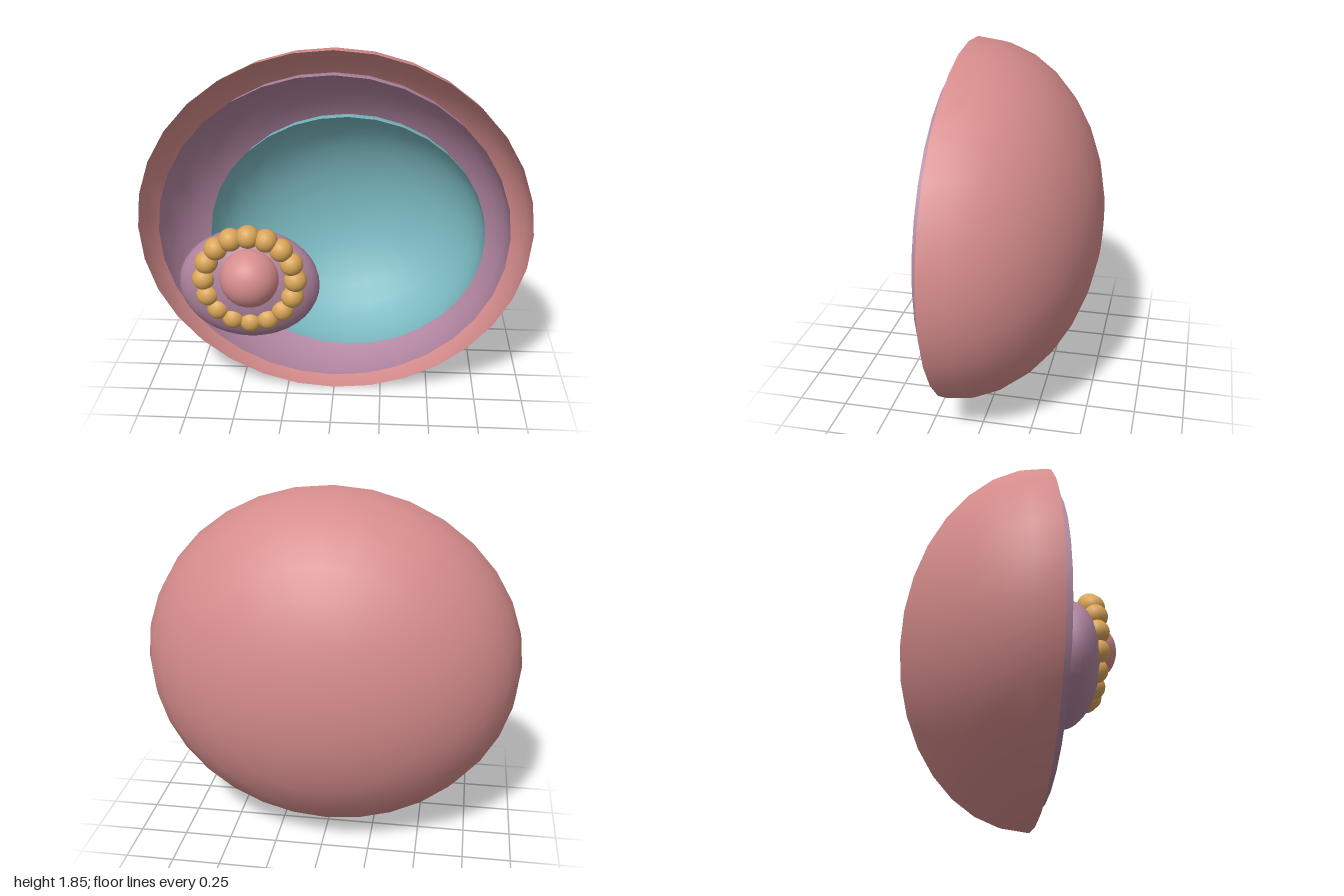
import * as THREE from 'three';

const paint = (name, color, side = THREE.FrontSide) => {
  const m = new THREE.MeshStandardMaterial({ color, side });
  m.name = name;
  return m;
};

export function createModel() {
  const model = new THREE.Group();
  model.name = 'nestedBowls';

  const rose = paint('rose', 0xd68c8c, THREE.DoubleSide);
  const mauve = paint('mauve', 0xb0849f, THREE.DoubleSide);
  const teal = paint('teal', 0x7ab8c0, THREE.DoubleSide);
  const gold = paint('gold', 0xd9a557);

  const add = (name, geometry, material, position, scale, parent = model) => {
    const mesh = new THREE.Mesh(geometry, material);
    mesh.name = name;
    mesh.position.set(...position);
    mesh.scale.set(...scale);
    parent.add(mesh);
    return mesh;
  };

  // Open half-ellipsoid bowls, rim facing +z and pole at the back
  const bowl = new THREE.SphereGeometry(1, 32, 8, 0, Math.PI * 2, 0, Math.PI / 2);
  bowl.rotateX(-Math.PI / 2);
  add('outerBowl', bowl, rose, [0, 0.925, 0.175], [1, 0.925, 0.69]);
  add('middleBowl', bowl, mauve, [0, 0.928, 0.226], [0.88, 0.816, 0.6]);
  add('innerBowl', bowl, teal, [0.072, 0.94, 0.26], [0.678, 0.614, 0.46]);

  // Flattened pod with a round centre
  const ball = new THREE.SphereGeometry(1, 32, 20);
  add('pod', ball, mauve, [-0.425, 0.665, 0.255], [0.358, 0.295, 0.165]);
  add('centreBall', ball, rose, [-0.406, 0.752, 0.366], [0.15, 0.15, 0.15]);

  // Ring of beads around the centre ball
  const beads = new THREE.Group();
  beads.name = 'beadRing';
  beads.position.set(-0.406, 0.747, 0.378);
  model.add(beads);
  const bead = new THREE.SphereGeometry(0.058, 20, 14);
  const count = 16;
  for (let i = 0; i < count; i++) {
    const a = (i / count) * Math.PI * 2;
    add('bead', bead, gold, [0.228 * Math.cos(a), 0.23 * Math.sin(a), 0], [1, 1, 1], beads);
  }

  return model;
}
